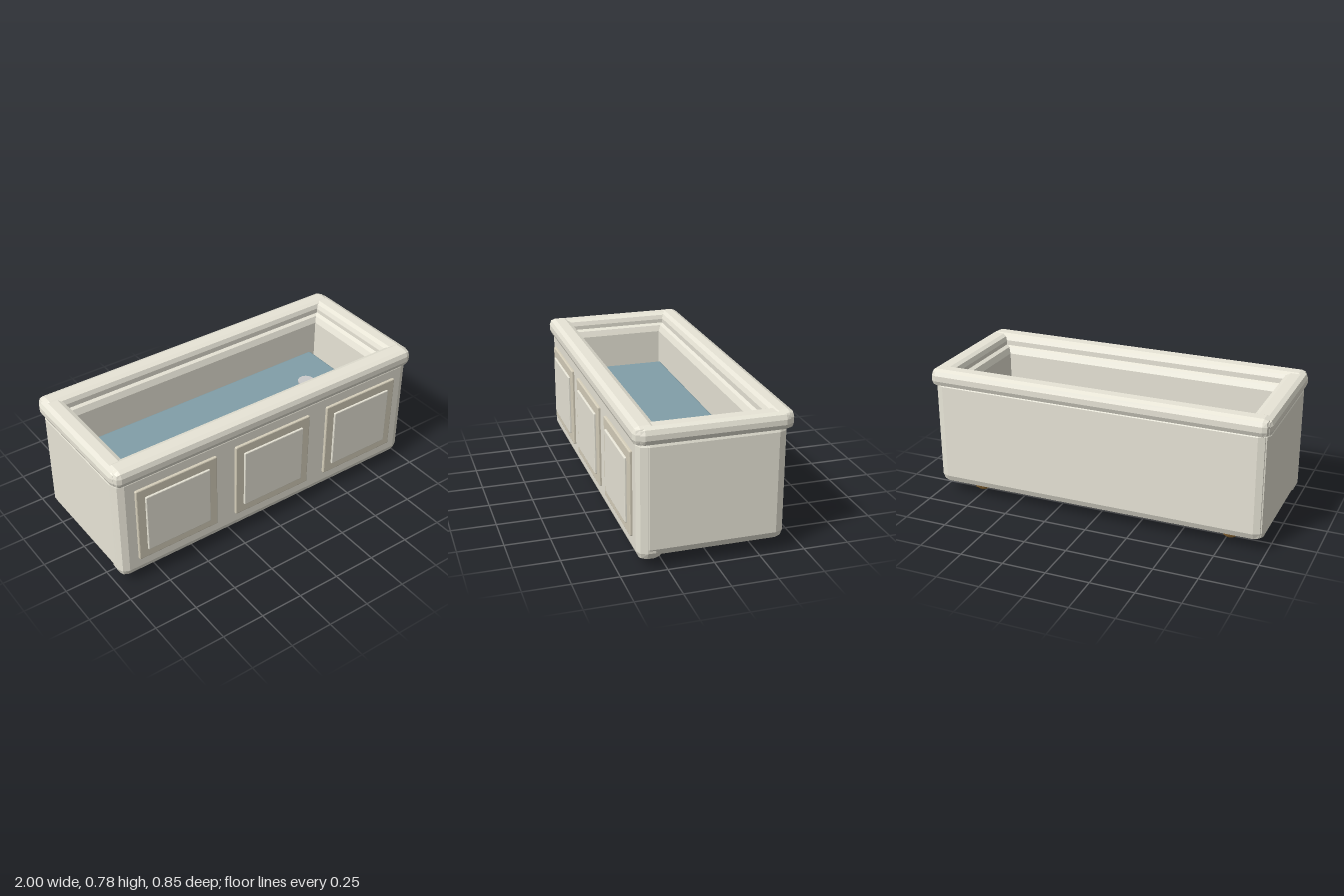
import * as THREE from 'three';
import { RoundedBoxGeometry } from 'three/addons/geometries/RoundedBoxGeometry.js';

const mat = (color) => new THREE.MeshStandardMaterial({ color, flatShading: true });

export function createModel() {
  const tub = new THREE.Group();
  tub.name = 'tub';
  const cream = mat(0xe8e5d7);
  const trim = mat(0xd6cfbb);
  const blue = mat(0x829fa8);
  const bronze = mat(0xa87e42);
  const metal = mat(0xcccccc);

  const add = (name, geometry, material, x = 0, y = 0, z = 0) => {
    const mesh = new THREE.Mesh(geometry, material);
    mesh.name = name;
    mesh.position.set(x, y, z);
    tub.add(mesh);
  };

  // Block with two-facet bevels, given by its limits on each axis
  const block = (name, material, [x0, x1], [y0, y1], [z0, z1], bevel) =>
    add(name, new RoundedBoxGeometry(x1 - x0, y1 - y0, z1 - z0, 1, bevel), material,
      (x0 + x1) / 2, (y0 + y1) / 2, (z0 + z1) / 2);

  // Long walls
  block('frontWall', cream, [-0.985, 0.985], [0.045, 0.725], [0.26, 0.4], 0.05);
  block('backWall', cream, [-0.98, 0.98], [0.065, 0.725], [-0.397, -0.268], 0.05);
  // Long rim rails
  block('frontRim', cream, [-0.99, 0.99], [0.68, 0.782], [0.292, 0.421], 0.035);
  block('backRim', cream, [-0.99, 0.99], [0.68, 0.782], [-0.425, -0.302], 0.035);

  // End walls and end rim rails
  for (const s of [-1, 1]) {
    const side = s > 0 ? 'left' : 'right';
    const span = (a, b) => (s > 0 ? [a, b] : [-b, -a]);
    block(side + 'Wall', cream, span(0.837, 0.988), [0.066, 0.725], [-0.39, 0.39], 0.05);
    block(side + 'Rim', cream, span(0.875, 1), [0.68, 0.778], [-0.405, 0.4], 0.035);
  }

  // Raised floor, water and drain
  block('floor', cream, [-0.8, 0.8], [0.28, 0.44], [-0.265, 0.255], 0.01);
  block('water', blue, [-0.8, 0.8], [0.43, 0.485], [-0.265, 0.255], 0.01);
  add('drain', new THREE.CylinderGeometry(0.05, 0.05, 0.02, 20), metal, 0.57, 0.485, -0.01);

  // Front panels: a frame plate with a raised field
  for (const x of [-0.627, 0, 0.627]) {
    block('panelFrame', trim, [x - 0.252, x + 0.252], [0.153, 0.622], [0.38, 0.415], 0.006);
    block('panelField', cream, [x - 0.2, x + 0.2], [0.206, 0.567], [0.4, 0.426], 0.005);
  }

  // Egg-shaped feet
  const footGeometry = new THREE.SphereGeometry(1, 12, 8).scale(0.071, 0.09, 0.071);
  for (const x of [-0.77, 0.77]) {
    for (const z of [-0.26, 0.245]) add('foot', footGeometry, bronze, x, 0.09, z);
  }

  return tub;
}
